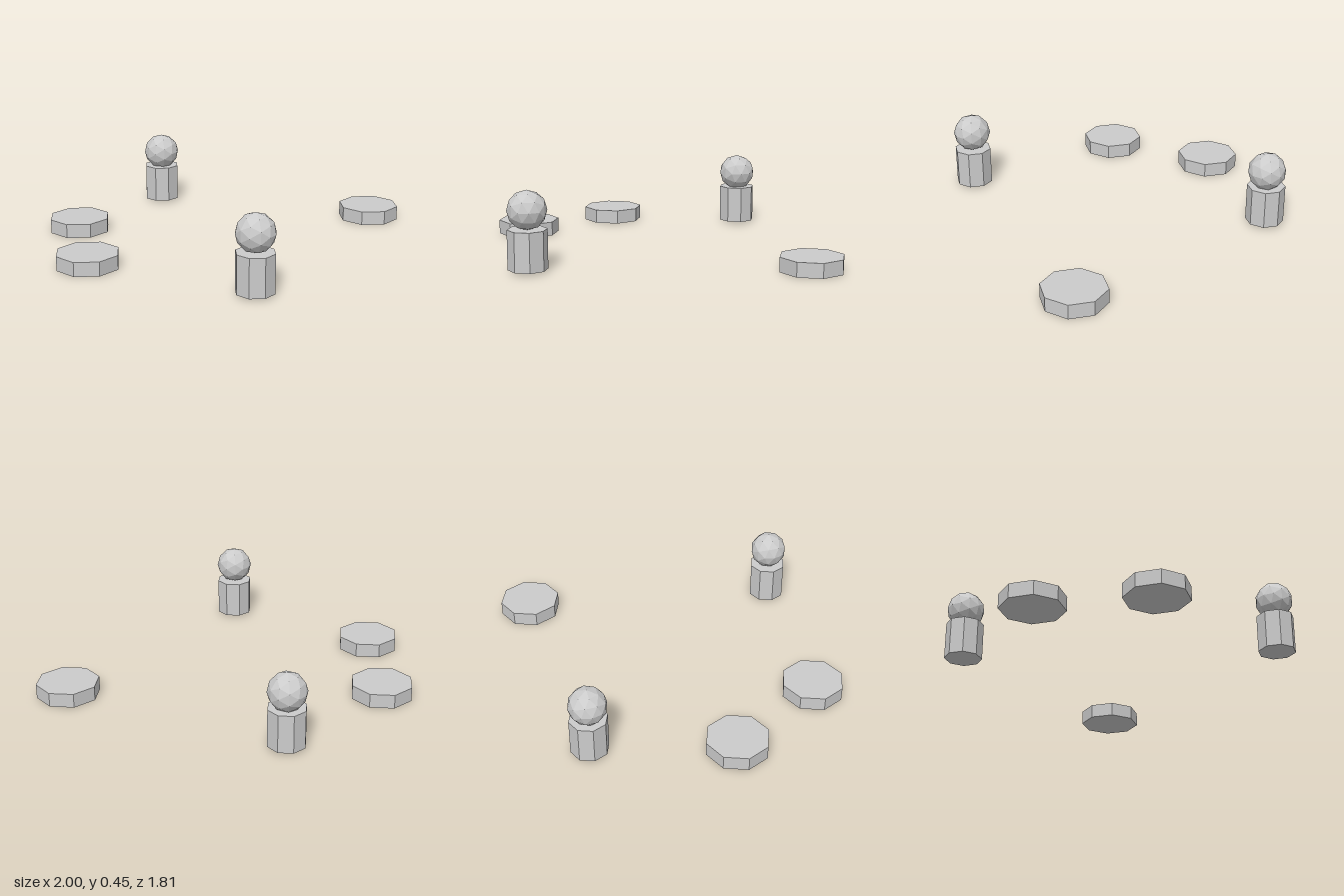
import * as THREE from 'three';

const material = new THREE.MeshStandardMaterial({ color: 0xcccccc, flatShading: true });

function addMesh(parent, name, geometry, x, y, z) {
  const mesh = new THREE.Mesh(geometry, material);
  mesh.name = name;
  mesh.position.set(x, y, z);
  parent.add(mesh);
  return mesh;
}

export function createModel() {
  const model = new THREE.Group();
  model.name = 'discsAndPosts';

  // Flat octagonal discs lying on the ground
  const discGeometry = new THREE.CylinderGeometry(0.185, 0.185, 0.084, 8);
  const discs = [[-0.815, 0.1], [-0.49, 0.69], [0.815, -0.725]];
  discs.forEach(([x, z], i) => addMesh(model, `disc${i + 1}`, discGeometry, x, 0.042, z));

  // Octagonal posts, each topped by a faceted ball
  const postGeometry = new THREE.CylinderGeometry(0.111, 0.111, 0.223, 8);
  const ballGeometry = new THREE.IcosahedronGeometry(0.111, 1);
  const posts = [[-0.578, -0.687, 0.326], [0.52, 0.792, 0.339]];
  posts.forEach(([x, z, ballY], i) => {
    const figure = new THREE.Group();
    figure.name = `postWithBall${i + 1}`;
    figure.position.set(x, 0, z);
    addMesh(figure, 'post', postGeometry, 0, 0.1225, 0);
    addMesh(figure, 'ball', ballGeometry, 0, ballY, 0);
    model.add(figure);
  });

  return model;
}
